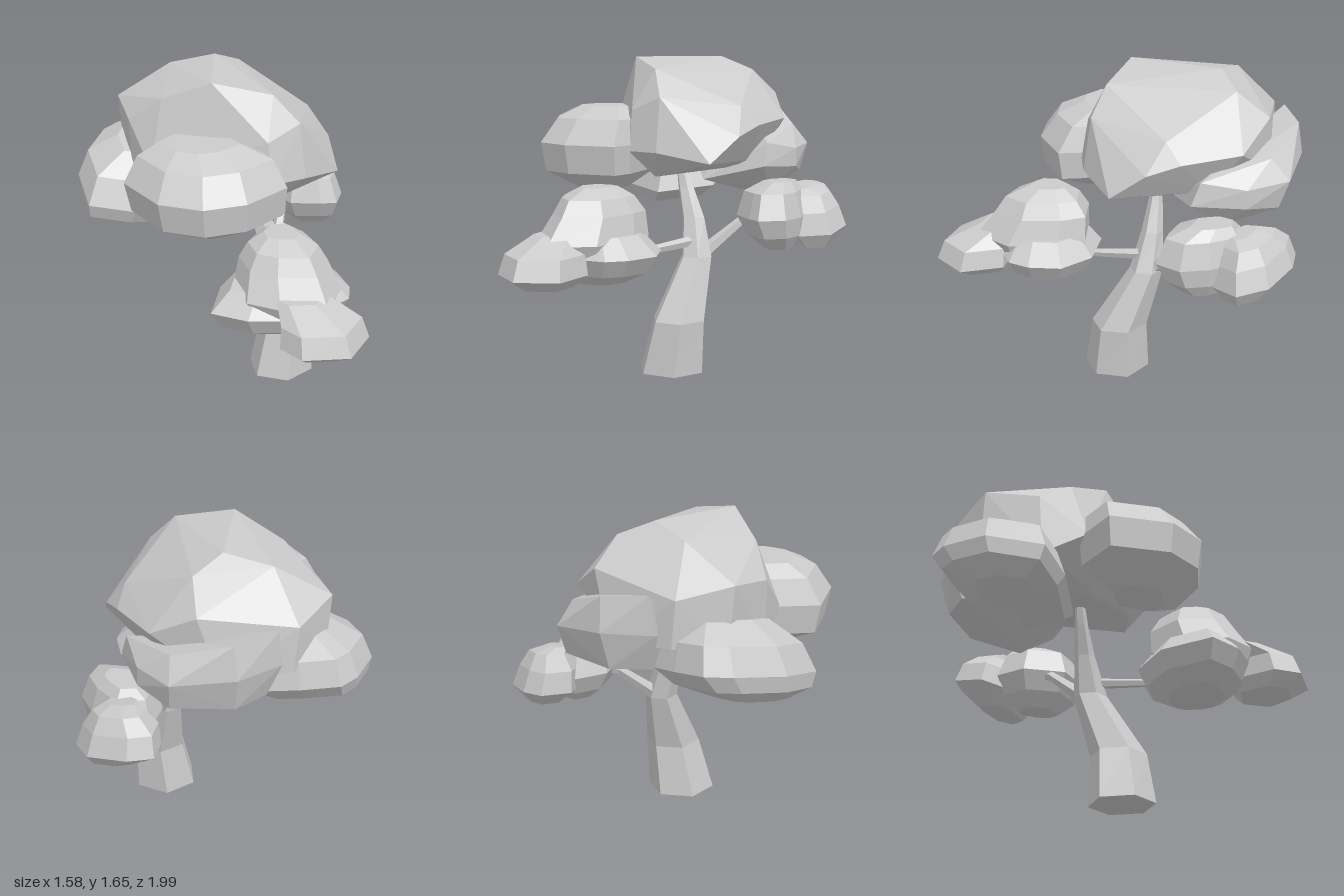
import * as THREE from 'three';
import { ConvexGeometry } from 'three/addons/geometries/ConvexGeometry.js';

const material = new THREE.MeshStandardMaterial({ color: 0xcccccc, flatShading: true });

function part(name, geometry) {
  const mesh = new THREE.Mesh(geometry, material);
  mesh.name = name;
  return mesh;
}

// Faceted boulder-like leaf mass spanned by a few corner points
function hull(name, corners) {
  return part(name, new ConvexGeometry(corners.map((p) => new THREE.Vector3(...p))));
}

// Skins a stack of equal-sized rings, bottom to top, and closes both ends
function loft(name, rings) {
  const pos = [];
  const tri = (...pts) => pts.forEach((p) => pos.push(p.x, p.y, p.z));
  const n = rings[0].length;
  const middle = (ring) => ring.reduce((s, p) => s.add(p), new THREE.Vector3()).divideScalar(n);
  const first = rings[0], last = rings[rings.length - 1];
  const low = middle(first), high = middle(last);
  for (let i = 0; i < n; i++) {
    const j = (i + 1) % n;
    for (let k = 0; k < rings.length - 1; k++) {
      const a = rings[k], b = rings[k + 1];
      tri(a[i], a[j], b[j]);
      tri(a[i], b[j], b[i]);
    }
    tri(low, first[j], first[i]);
    tri(high, last[i], last[j]);
  }
  const geo = new THREE.BufferGeometry();
  geo.setAttribute('position', new THREE.Float32BufferAttribute(pos, 3));
  geo.computeVertexNormals();
  return part(name, geo);
}

// Leaf clump: plan outline [x, z], levels [y, scale, shift x, shift z], rise of y along z
function clump(name, outline, levels, tilt = 0) {
  const mid = [0, 1].map((k) => {
    const v = outline.map((p) => p[k]);
    return (Math.min(...v) + Math.max(...v)) / 2;
  });
  return loft(name, levels.map(([y, s, dx = 0, dz = 0]) => outline.map(([x, z]) => {
    const offset = (z - mid[1]) * s + dz;
    return new THREE.Vector3(mid[0] + (x - mid[0]) * s + dx, y + offset * tilt, mid[1] + offset);
  })));
}

// Tapered six-sided stem through level sections [x, y, z, radius x, radius z]
function stem(name, sections) {
  return loft(name, sections.map(([x, y, z, rx, rz]) => Array.from({ length: 6 }, (_, i) => {
    const a = (i / 6) * Math.PI * 2;
    return new THREE.Vector3(x + Math.cos(a) * rx, y, z - Math.sin(a) * rz);
  })));
}

// Thin straight branch between two points
function branch(name, from, to, r0, r1) {
  const a = new THREE.Vector3(...from), b = new THREE.Vector3(...to);
  const dir = b.clone().sub(a);
  const mesh = part(name, new THREE.CylinderGeometry(r1, r0, dir.length(), 5));
  mesh.position.copy(a).add(b).multiplyScalar(0.5);
  mesh.quaternion.setFromUnitVectors(new THREE.Vector3(0, 1, 0), dir.normalize());
  return mesh;
}

export function createModel() {
  const tree = new THREE.Group();
  tree.name = 'tree';

  // Trunk and branches
  tree.add(
    stem('trunk', [
      [0, 0, 0.1, 0.18, 0.175],
      [0.045, 0.28, 0.1, 0.145, 0.15],
      [0.085, 0.6, -0.04, 0.085, 0.09],
      [0.04, 0.8, -0.09, 0.065, 0.055],
      [-0.02, 0.95, -0.13, 0.045, 0.035],
      [-0.07, 1.1, -0.16, 0.025, 0.025],
    ]),
    branch('leftBranch', [0.1, 0.6, -0.06], [0.29, 0.79, -0.2], 0.04, 0.025),
    branch('leftBranchTip', [0.285, 0.785, -0.197], [0.42, 0.82, -0.25], 0.025, 0.02),
    branch('frontBranch', [0.08, 0.68, -0.04], [-0.18, 0.63, 0.3], 0.03, 0.018),
  );

  // Crown: ridge, shoulders, widest edge, underside
  tree.add(hull('crown', [
    [0.04, 1.65, -0.46], [-0.3, 1.65, -0.09],
    [-0.13, 1.6, -0.63], [0.22, 1.58, -0.47], [-0.08, 1.59, 0.12], [-0.43, 1.54, -0.33],
    [0.3, 1.45, -0.62], [-0.38, 1.44, -0.77], [-0.5, 1.4, -0.52], [0, 1.45, 0.23], [-0.18, 1.38, 0.19],
    [0.33, 1.4, -0.05], [0.43, 1.32, -0.42], [0.41, 1.3, -0.1], [0.37, 1.25, 0.07],
    [-0.12, 1.38, -0.85], [-0.55, 1.2, -0.28],
    [0.28, 1.12, 0.23], [0, 1.17, 0.275], [-0.18, 1.17, 0.23], [0.31, 1.1, -0.3],
    [-0.5, 1.08, -0.5], [-0.35, 1.12, -0.78], [-0.1, 1.15, -0.85], [0.22, 1.12, -0.7],
    [-0.08, 1.03, 0.12], [0.22, 1.07, -0.1], [-0.3, 1.03, -0.35],
  ]));

  // Clumps around the crown
  tree.add(
    clump('rightClump', [[-0.17, 0.23], [-0.2, -0.15], [-0.5, -0.31], [-0.75, -0.24], [-0.79, 0.08],
      [-0.68, 0.28], [-0.48, 0.37], [-0.2, 0.35]],
    [[0.95, 0.4, 0.04], [1.05, 0.94, 0.01], [1.2, 1], [1.33, 0.83, 0.03, -0.03],
      [1.39, 0.5, 0.04, -0.07]]),
    clump('backRightClump', [[0.02, -0.4], [0, -0.75], [-0.12, -0.88], [-0.27, -1], [-0.4, -0.97],
      [-0.63, -0.82], [-0.75, -0.56], [-0.57, -0.4], [-0.25, -0.25]],
    [[0.85, 0.45, -0.08, -0.02], [0.91, 0.85, -0.04, -0.01], [0.99, 1], [1.13, 0.87, 0.02],
      [1.24, 0.55, 0.06, 0.04]], -0.25),
    hull('backLeftClump', [
      [0.42, 1.2, -0.2], [0.42, 1.28, -0.58], [0.23, 1.38, -0.82], [0, 1.4, -0.85],
      [0.42, 1.08, -0.15], [0.5, 1.16, -0.42], [0.48, 1.17, -0.66], [0.23, 1.21, -0.85], [-0.03, 1.21, -0.85],
      [0.5, 1.06, -0.42], [0.45, 1.02, -0.62], [0.2, 1.02, -0.8], [0, 1.02, -0.78],
      [0.38, 0.94, -0.35], [0.19, 0.92, -0.4], [0.05, 0.99, -0.2], [-0.1, 1.05, -0.45],
    ]),
  );

  // Front foliage pad
  tree.add(
    clump('frontPad', [[0.08, 0.43], [0.01, 0.24], [-0.2, 0.12], [-0.46, 0.14], [-0.68, 0.32],
      [-0.6, 0.5], [-0.4, 0.68], [-0.08, 0.67], [0.01, 0.59]],
    [[0.52, 0.5], [0.58, 0.84], [0.67, 1], [0.77, 0.72]]),
    clump('frontDome', [[-0.05, 0.42], [-0.05, 0.26], [-0.26, 0.17], [-0.48, 0.26], [-0.57, 0.46],
      [-0.5, 0.62], [-0.34, 0.78], [-0.13, 0.66]],
    [[0.62, 0.8], [0.74, 1], [0.87, 0.83, 0.02, -0.05], [0.95, 0.65, 0.02, -0.055],
      [1, 0.33, 0.03, -0.08]]),
    clump('frontTip', [[-0.17, 0.68], [-0.38, 0.55], [-0.58, 0.7], [-0.58, 0.85], [-0.4, 0.99],
      [-0.19, 0.91]],
    [[0.54, 0.65, 0, -0.02], [0.6, 1], [0.7, 0.9, 0, -0.02], [0.78, 0.55, 0, -0.15]]),
  );

  // Left foliage pad
  tree.add(
    clump('leftPad', [[0.62, -0.18], [0.6, -0.38], [0.45, -0.46], [0.31, -0.35], [0.28, -0.12],
      [0.4, 0], [0.47, 0.05], [0.59, -0.03]],
    [[0.65, 0.45, 0.04], [0.72, 0.8, 0.02], [0.82, 1], [0.95, 0.8], [1, 0.45, 0.02, -0.04]]),
    clump('leftPadTip', [[0.76, -0.26], [0.79, -0.42], [0.68, -0.6], [0.57, -0.67], [0.45, -0.55],
      [0.46, -0.35], [0.6, -0.2]],
    [[0.68, 0.55, 0.02, 0.05], [0.76, 1], [0.87, 0.88, -0.02, 0.01], [0.95, 0.6, -0.02, 0.03],
      [0.98, 0.35, -0.06, 0.06]], -0.2),
  );
  return tree;
}
